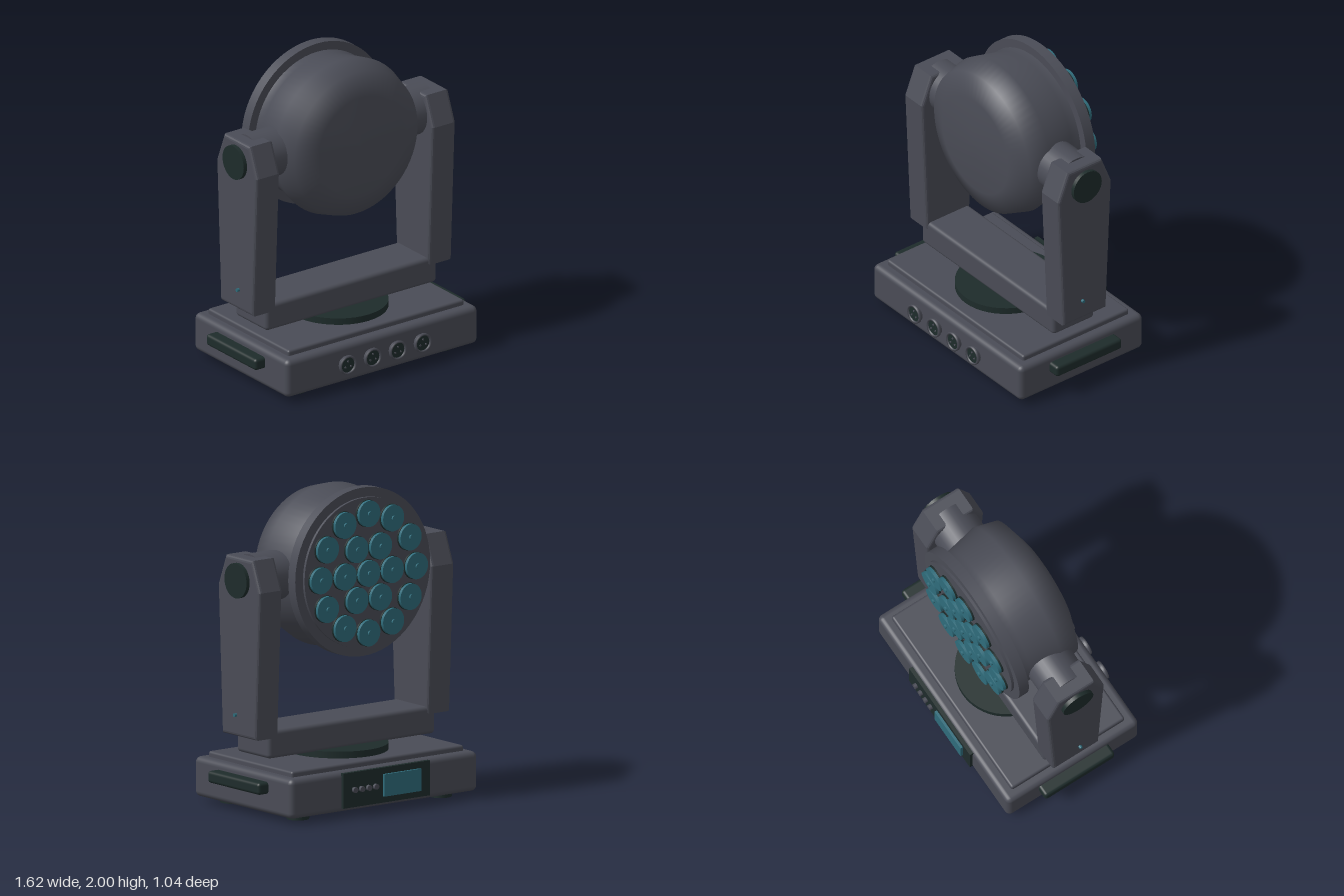
import * as THREE from 'three';
import { RoundedBoxGeometry } from 'three/addons/geometries/RoundedBoxGeometry.js';

const mat = (name, color) => {
  const m = new THREE.MeshStandardMaterial({ color });
  m.name = name;
  return m;
};

export function createModel() {
  const grey = mat('body grey', 0x4a4c56);
  const dark = mat('dark rubber', 0x1e2c2b);
  const teal = mat('teal glass', 0x2f6c7b);
  const model = new THREE.Group();

  const add = (name, geo, material, x = 0, y = 0, z = 0, parent = model) => {
    const m = new THREE.Mesh(geo, material);
    m.name = name;
    m.position.set(x, y, z);
    parent.add(m);
    return m;
  };
  const box = (w, h, d, r) => new RoundedBoxGeometry(w, h, d, 3, r);
  const discY = (r, h, n = 32) => new THREE.CylinderGeometry(r, r, h, n);
  const discX = (r, h, n = 32) => discY(r, h, n).rotateZ(Math.PI / 2);
  const discZ = (r, h, n = 32) => discY(r, h, n).rotateX(Math.PI / 2);
  // Lathe about the z axis from [radius, z] pairs, back to front
  const latheZ = (pts, n) => new THREE.LatheGeometry(
    pts.map(([r, z]) => new THREE.Vector2(r, z)), n).rotateX(Math.PI / 2);

  // Base
  add('base', box(1.47, 0.25, 0.97, 0.035), grey, 0, 0.16, 0);
  add('baseTopPlate', box(1.35, 0.06, 0.835, 0.015), grey, 0, 0.29, 0);
  for (const x of [-0.56, 0.56]) for (const z of [-0.33, 0.33])
    add('foot', discY(0.07, 0.04), dark, x, 0.02, z);
  for (const s of [-1, 1])
    add('handle', box(0.1, 0.075, 0.515, 0.02), dark, s * 0.76, 0.2, 0);

  // Front sockets: flared rim, dark face and pins
  const rim = latheZ([[0.052, 0], [0.052, 0.015], [0.062, 0.02], [0.062, 0.035], [0.05, 0.035], [0.048, 0.015]], 28);
  for (let i = 0; i < 4; i++) {
    const socket = new THREE.Group();
    socket.name = 'socket';
    socket.position.set(-0.288 + i * 0.192, 0.16, 0.482);
    model.add(socket);
    add('socketRim', rim, grey, 0, 0, 0, socket);
    add('socketFace', discZ(0.05, 0.028), dark, 0, 0, 0.014, socket);
    for (let k = 0; k < 3; k++) {
      const a = Math.PI / 2 + k * Math.PI * 2 / 3;
      add('socketPin', discZ(0.006, 0.008, 10), grey, 0.024 * Math.cos(a), 0.024 * Math.sin(a), 0.03, socket);
    }
  }

  // Rear control panel
  add('controlPanel', new THREE.BoxGeometry(0.68, 0.22, 0.025), dark, 0, 0.17, -0.493);
  add('screen', new THREE.BoxGeometry(0.29, 0.14, 0.018), teal, -0.115, 0.17, -0.513);
  for (let i = 0; i < 4; i++)
    add('button', discZ(0.018, 0.022, 20), grey, 0.092 + i * 0.055, 0.17, -0.514);

  // Turntable and yoke
  add('turntable', discY(0.333, 0.045, 48), dark, 0, 0.34, 0).scale.x = 0.96;
  add('yokeCrossbar', box(1.31, 0.175, 0.325, 0.025), grey, 0, 0.443, 0);

  // Arm outline in (z, y), inset by the bevel
  const b = 0.02;
  const outline = new THREE.Shape([
    [-0.15, 0.505], [0.15, 0.505], [0.19, 1.415], [0.12, 1.592], [-0.12, 1.592], [-0.19, 1.415],
  ].map(([z, y]) => new THREE.Vector2(z, y)));
  const armGeo = new THREE.ExtrudeGeometry(outline, {
    depth: 0.18 - 2 * b, bevelSize: b, bevelThickness: b, bevelSegments: 3,
  }).translate(0, 0, -(0.09 - b)).rotateY(Math.PI / 2);
  for (const s of [-1, 1]) {
    add('yokeArm', armGeo, grey, s * 0.675, 0, 0);
    add('tiltAxle', discX(0.155, 0.26), grey, s * 0.55, 1.47, 0);
    add('tiltCap', discX(0.11, 0.04), dark, s * 0.77, 1.47, 0);
    add('lockPin', discX(0.011, 0.03, 12), teal, s * 0.768, 0.62, 0.025);
  }

  // Head, facing backwards
  const head = new THREE.Group();
  head.name = 'head';
  head.position.y = 1.47;
  model.add(head);
  add('headShell', latheZ([[0.475, -0.2], [0.47, -0.138], [0.512, 0.065], [0.473, 0.206], [0.325, 0.26], [0, 0.264]], 64),
    grey, 0, 0, 0, head);
  add('headRing', discZ(0.53, 0.07, 64), grey, 0, 0, -0.23, head);
  add('lensPlate', discZ(0.47, 0.025, 64), grey, 0, 0, -0.27, head);

  // Lenses: one centre, then rings of six and twelve
  const lensRim = discZ(0.086, 0.012, 28), lensGlass = discZ(0.083, 0.026, 28), lensTip = discZ(0.016, 0.014, 14);
  for (const [count, radius] of [[1, 0], [6, 0.185], [12, 0.375]])
    for (let i = 0; i < count; i++) {
      const a = i * Math.PI * 2 / count;
      const lens = new THREE.Group();
      lens.name = 'lens';
      lens.position.set(radius * Math.cos(a), radius * Math.sin(a), 0);
      head.add(lens);
      add('lensRim', lensRim, dark, 0, 0, -0.309, lens);
      add('lensGlass', lensGlass, teal, 0, 0, -0.323, lens);
      add('lensTip', lensTip, teal, 0, 0, -0.34, lens);
    }
  return model;
}
